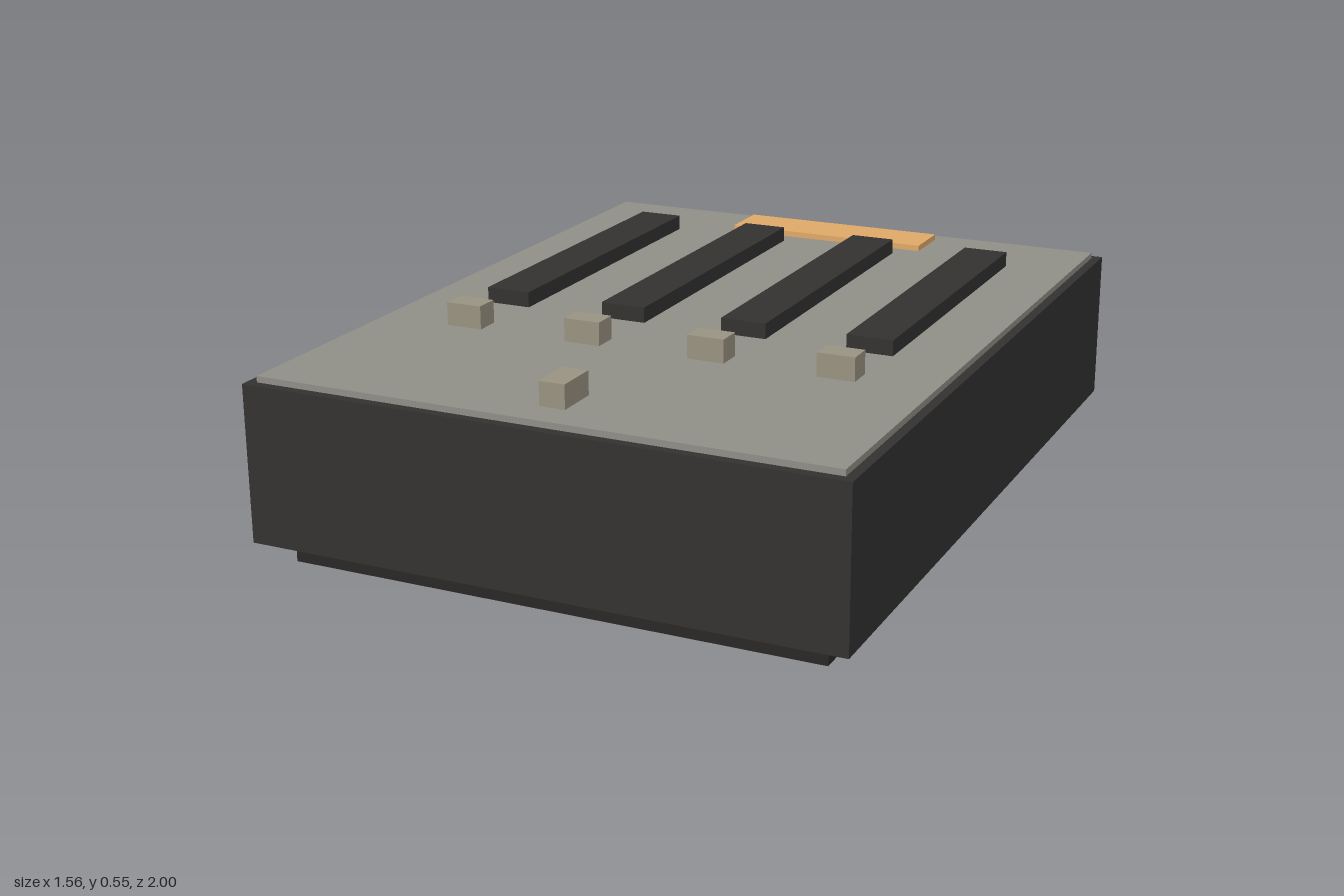
import * as THREE from 'three';

const material = (color) => new THREE.MeshStandardMaterial({ color });

export function createModel() {
  const model = new THREE.Group();
  const dark = material(0x333231);
  const darker = material(0x2a2826);
  const grey = material(0x8f8e86);
  const beige = material(0x989280);
  const amber = material(0xdfa968);

  // Box given by its centre in x and z, its base height and its size
  const box = (name, mat, x, y, z, w, h, d) => {
    const mesh = new THREE.Mesh(new THREE.BoxGeometry(w, h, d), mat);
    mesh.name = name;
    mesh.position.set(x, y + h / 2, z);
    model.add(mesh);
  };

  const bodyBase = 0.063, bodyTop = 0.472, plateTop = 0.488;

  // Casing with a thin top plate
  box('body', dark, 0, bodyBase, 0, 1.56, bodyTop - bodyBase, 2);
  box('topPlate', grey, 0, bodyTop, 0, 1.51, plateTop - bodyTop, 1.95);

  // Foot bars under the front and back
  for (const [name, side] of [['frontFoot', 1], ['backFoot', -1]]) {
    box(name, darker, 0, 0, side * 0.857, 1.41, bodyBase, 0.146);
  }

  // Four long raised bars, each with a small button in front
  for (let i = 0; i < 4; i++) {
    const x = (i - 1.5) * 0.341;
    box(`bar${i + 1}`, dark, x, plateTop, -0.268, 0.123, 0.041, 0.925);
    box(`button${i + 1}`, beige, x, plateTop, 0.388, 0.098, 0.061, 0.067);
  }

  // Single button at the front and the coloured strip at the back
  box('frontButton', beige, 0, plateTop, 0.828, 0.067, 0.061, 0.116);
  box('strip', amber, 0, plateTop, -0.857, 0.586, 0.016, 0.145);

  return model;
}
